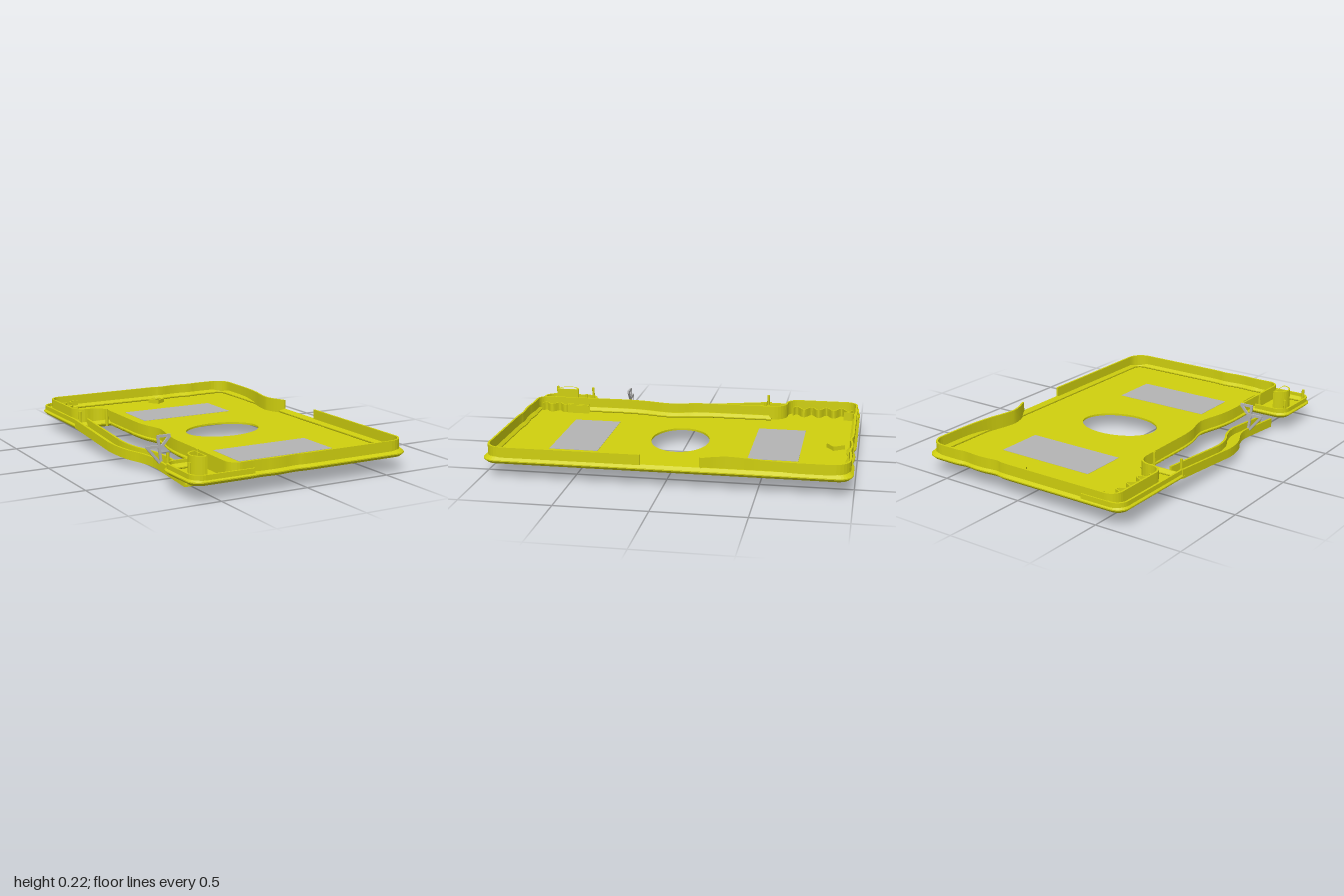
import * as THREE from 'three';

const yellow = new THREE.MeshStandardMaterial({ color: 0xcfcf0e });
yellow.name = 'yellow plastic';
const grey = new THREE.MeshStandardMaterial({ color: 0xb4b4b4 });
grey.name = 'grey';

// Plan points [x, z, radius] with rounded corners
function round(pts, closed = false) {
  const out = [];
  const n = pts.length;
  pts.forEach(([x, z, r], i) => {
    const p = new THREE.Vector2(x, z);
    if (!r || (!closed && (i === 0 || i === n - 1))) return out.push(p);
    const toward = (q) => {
      const d = new THREE.Vector2(q[0], q[1]).sub(p);
      return p.clone().addScaledVector(d.clone().normalize(), Math.min(r, d.length() * 0.48));
    };
    const a = toward(pts[(i + n - 1) % n]);
    const b = toward(pts[(i + 1) % n]);
    // blend of two pulls keeps corners close to circular
    const c1 = a.clone().lerp(p, 0.55), c2 = b.clone().lerp(p, 0.55);
    out.push(...new THREE.CubicBezierCurve(a, c1, c2, b).getPoints(7));
  });
  return out;
}

// Shift a plan line sideways with mitred corners
function offset(pts, d, closed = false) {
  const n = pts.length;
  return pts.map((p, i) => {
    const prev = closed ? pts[(i + n - 1) % n] : pts[Math.max(i - 1, 0)];
    const next = closed ? pts[(i + 1) % n] : pts[Math.min(i + 1, n - 1)];
    let t1 = p.clone().sub(prev).normalize();
    let t2 = next.clone().sub(p).normalize();
    if (t1.lengthSq() === 0) t1 = t2;
    if (t2.lengthSq() === 0) t2 = t1;
    const t = t1.clone().add(t2).normalize();
    const k = d / Math.max(t.dot(t1), 0.5);
    return new THREE.Vector2(p.x + t.y * k, p.y - t.x * k);
  });
}

// Upright extrusion of a plan outline between two heights
function slab(pts, y0, y1, holes = [], bevel = 0) {
  const flip = (list) => list.map((p) => new THREE.Vector2(p.x, -p.y));
  const shape = new THREE.Shape(flip(pts));
  holes.forEach((h) => shape.holes.push(new THREE.Path(flip(h))));
  const bt = bevel ? (y1 - y0) * 0.42 : 0;
  const g = new THREE.ExtrudeGeometry(shape, {
    depth: y1 - y0 - 2 * bt, bevelEnabled: bevel > 0, bevelSegments: 1,
    bevelSize: bevel, bevelThickness: bt, bevelOffset: -bevel,
  });
  return g.rotateX(-Math.PI / 2).translate(0, y0 + bt, 0);
}

const wall = (pts, t, y0, y1, shift = 0) =>
  slab([...offset(pts, shift - t / 2), ...offset(pts, shift + t / 2).reverse()], y0, y1);

function ellipse(cx, cz, rx, rz, turn) {
  return new THREE.EllipseCurve(cx, cz, rx, rz, 0, Math.PI * 2, false, turn).getPoints(48).slice(0, -1);
}

function halfRound(r) {
  return new THREE.EllipseCurve(-0.515, 0.82, r, r, Math.PI / 2, Math.PI * 1.5).getPoints(16);
}

export function createModel() {
  const group = new THREE.Group();
  const add = (name, geo, mat = yellow) => {
    const m = new THREE.Mesh(geo, mat);
    m.name = name;
    group.add(m);
    return m;
  };

  // Wavy inner edge beside the arm slot
  const slotEdge = [
    [-0.44, -0.02, 0.1], [-0.4, 0.1, 0.08], [-0.4, 0.17, 0.08], [-0.445, 0.34, 0.1],
  ];
  const outline = round([
    [-0.655, -0.995, 0.07], [-0.655, -0.43], [-0.44, -0.43], ...slotEdge,
    [-0.445, 0.64], [-0.655, 0.64, 0.07], [-0.655, 0.995, 0.07], [-0.3, 0.995, 0.05],
    [-0.26, 0.988, 0.05], [-0.17, 1, 0.05], [-0.05, 0.985, 0.05], [0, 0.995, 0.05],
    [0.655, 0.995, 0.08], [0.655, -0.995, 0.08], [0.42, -0.995, 0.04], [0.38, -0.982, 0.04],
    [0.27, -0.998, 0.06], [0.16, -0.98, 0.04], [0.12, -0.995, 0.04],
  ], true);

  // Floor with oval opening and post opening
  const oval = ellipse(0.077, 0, 0.23, 0.166, -0.09);
  add('floor', slab(offset(outline, 0.02, true), 0.09, 0.101, [oval, halfRound(0.053)]));
  add('flange', slab(outline, 0.09, 0.128, [offset(outline, 0.042, true)], 0.018));

  // Tall inner wall, open on the +x side
  const wallPath = round([
    [0.635, 0.12], [0.635, 0.975, 0.09], [0, 0.975, 0.05], [-0.05, 0.965, 0.05], [-0.17, 0.98, 0.05],
    [-0.26, 0.97, 0.05], [-0.43, 0.975, 0.06], [-0.43, 0.6],
    ...slotEdge.slice().reverse().map(([x, z, r]) => [x + 0.012, z, r]),
    [-0.43, -0.555, 0.09], [-0.6, -0.555, 0.07], [-0.6, -0.975, 0.06], [0.12, -0.975, 0.04],
    [0.16, -0.962, 0.04], [0.27, -0.98, 0.06], [0.38, -0.965, 0.04], [0.42, -0.975, 0.04],
    [0.635, -0.975, 0.09], [0.635, -0.58, 0.15], [0.585, -0.37, 0.08],
    [0.59, -0.3, 0.05], [0.635, -0.2],
  ]);
  add('innerWall', wall(wallPath, 0.011, 0.1, 0.182));

  // Low lips around the corner pad and the arm root
  const padLip = round([
    [-0.45, 0.655], [-0.64, 0.655, 0.06], [-0.64, 0.982, 0.06], [-0.36, 0.982], [-0.3, 0.982],
  ]);
  add('padLip', wall(padLip, 0.012, 0.1, 0.145));
  const rootLip = round([[-0.4, -0.982], [-0.64, -0.982, 0.06], [-0.64, -0.43]]);
  add('armRootLip', wall(rootLip, 0.012, 0.1, 0.145));

  // Drooping channel-shaped arm
  const armPath = round([
    [-0.612, -0.45], [-0.612, -0.2], [-0.612, 0.12, 0.12], [-0.502, 0.3, 0.12], [-0.502, 0.5], [-0.502, 0.69],
  ]);
  const droop = (g) => {
    const p = g.attributes.position;
    for (let i = 0; i < p.count; i++) p.setY(i, p.getY(i) + 0.09 - 0.077 * (p.getZ(i) + 0.4));
    g.computeVertexNormals();
    return g;
  };
  add('armFloor', droop(wall(armPath, 0.07, 0, 0.014)));
  for (const s of [-1, 1]) add('armSide', droop(wall(armPath, 0.012, 0.004, 0.055, s * 0.036)));

  // Half-round hollow post on the pad
  add('post', slab(halfRound(0.068), 0.09, 0.21, [halfRound(0.053).map((p) => new THREE.Vector2(p.x - 0.006, p.y))]));

  // Locating pins
  for (const [x, z] of [[-0.63, 0.685], [-0.46, 0.685], [-0.63, 0.915], [-0.63, -0.43], [-0.46, -0.43]]) {
    add('pin', new THREE.CylinderGeometry(0.008, 0.008, 0.1, 10).translate(x, 0.147, z));
  }

  // Scalloped ribs in the two left corners
  const scallop = (x, z0, z1, amp, waves) => {
    const pts = [];
    for (let i = 0; i <= 40; i++) {
      const t = i / 40;
      pts.push(new THREE.Vector2(x + amp * Math.sin(t * waves * Math.PI * 2), z0 + (z1 - z0) * t));
    }
    return pts;
  };
  add('backScallopRib', wall(scallop(-0.54, -0.95, -0.59, 0.03, 4), 0.007, 0.1, 0.15));
  add('backCornerRib', wall(round([[-0.48, -0.9], [-0.48, -0.965, 0.05], [-0.42, -0.965]]), 0.007, 0.1, 0.15));
  add('frontScallopRib', wall(scallop(-0.395, 0.78, 0.95, 0.018, 2), 0.007, 0.1, 0.15));
  add('frontGuideRib', wall(round([[-0.395, 0.65], [-0.395, 0.78], [-0.37, 0.78], [-0.37, 0.65]]), 0.006, 0.1, 0.15));

  // Small diamond-set square socket
  const ring = (r) => new THREE.EllipseCurve(0, 0, r, r).getPoints(4).slice(0, -1);
  const socket = add('squareSocket', slab(ring(0.052), 0.1, 0.125, [ring(0.036)]));
  socket.position.set(0.09, 0, -0.88);
  socket.rotation.y = -0.2;

  // Grey panels set flush through the floor
  for (const s of [-1, 1]) {
    add('panel', new THREE.BoxGeometry(0.585, 0.014, 0.275).translate(0.0725, 0.0955, s * 0.555), grey);
  }

  // Thin triangular bracket over the arm
  const bars = [
    [-0.56, 0.218, -0.482, 0.218], [-0.485, 0.215, -0.545, 0.15], [-0.555, 0.215, -0.535, 0.06],
    [-0.625, 0.165, -0.535, 0.165], [-0.62, 0.165, -0.545, 0.075],
  ];
  for (const [x0, y0, x1, y1] of bars) {
    const bar = add('bracketBar', new THREE.BoxGeometry(Math.hypot(x1 - x0, y1 - y0), 0.014, 0.01), grey);
    bar.position.set((x0 + x1) / 2, (y0 + y1) / 2, 0.425);
    bar.rotation.z = Math.atan2(y1 - y0, x1 - x0);
  }

  return group;
}
